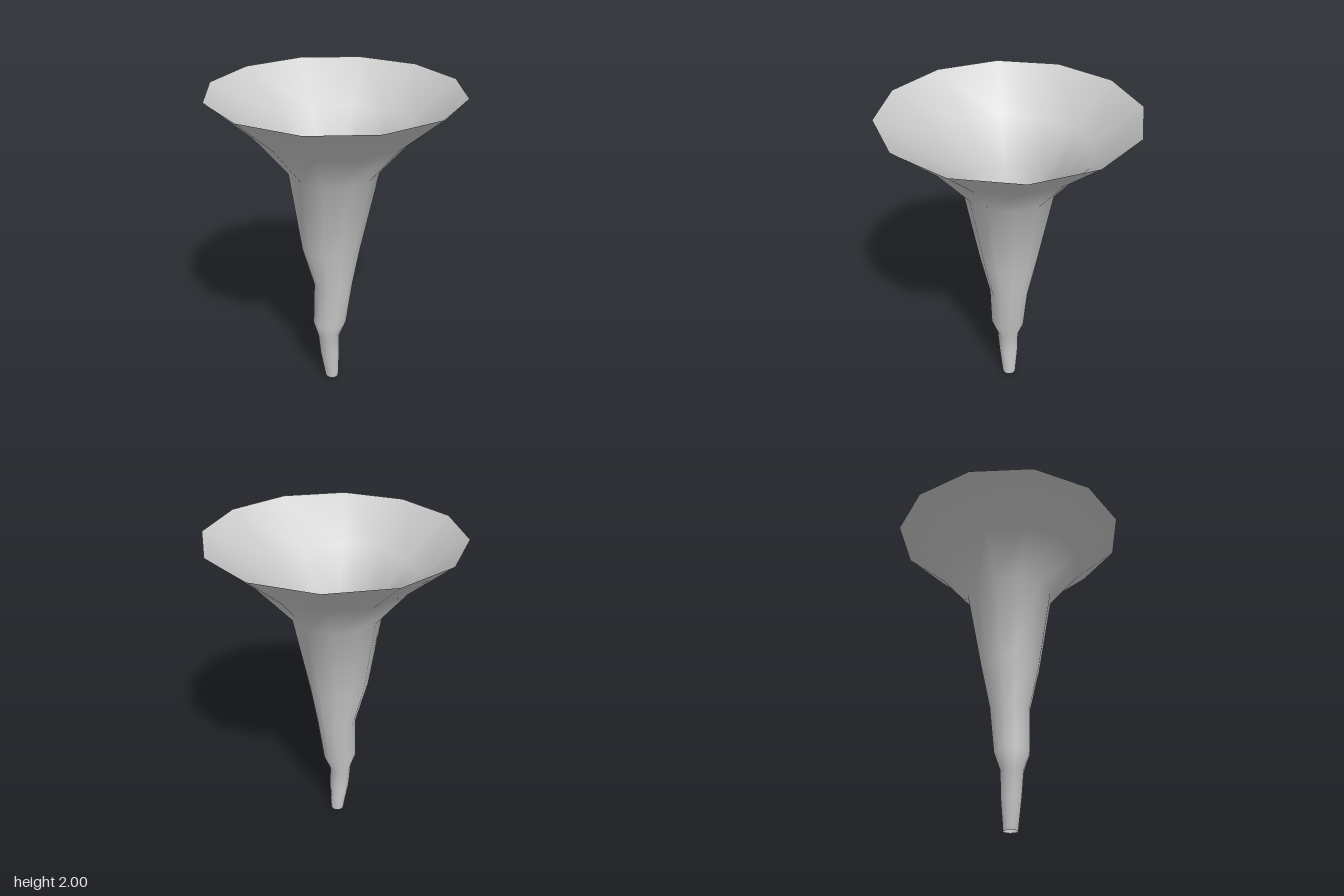
import * as THREE from 'three';
import { mergeVertices } from 'three/addons/utils/BufferGeometryUtils.js';

// Rings from foot to rim: height, min x, max x, min z, max z
const RINGS = [
  [0, -0.07, 0.018, -0.04, 0.05],
  [0.2, -0.105, 0.023, -0.058, 0.07],
  [0.35, -0.12, 0.022, -0.062, 0.081],
  [0.46, -0.152, 0.067, -0.1, 0.12],
  [0.75, -0.141, 0.11, -0.122, 0.13],
  [1.02, -0.215, 0.157, -0.182, 0.19],
  [1.53, -0.288, 0.265, -0.275, 0.28],
  [1.77, -0.485, 0.475, -0.475, 0.48],
  [2, -0.743, 0.743, -0.743, 0.743],
];

// Open twelve-sided tube whose rows are fitted to the rings
function ringTube(rings, sides) {
  const rows = rings.length - 1;
  let geometry = new THREE.CylinderGeometry(1, 1, rows, sides, rows, true);
  const p = geometry.attributes.position;
  for (let i = 0; i < p.count; i++) {
    const [y, x0, x1, z0, z1] = rings[Math.round(p.getY(i) + rows / 2)];
    p.setXYZ(
      i,
      (x0 + x1) / 2 + (p.getX(i) * (x1 - x0)) / 2,
      y,
      (z0 + z1) / 2 + (p.getZ(i) * (z1 - z0)) / 2,
    );
  }
  // Weld the seam so the shading is smooth all round
  geometry.deleteAttribute('uv');
  geometry.deleteAttribute('normal');
  geometry = mergeVertices(geometry, 1e-5);
  geometry.computeVertexNormals();
  return geometry;
}

export function createModel() {
  const group = new THREE.Group();
  group.name = 'flaredHorn';
  const material = new THREE.MeshStandardMaterial({ color: 0xcccccc, side: THREE.DoubleSide });

  // Thin-walled horn, open at both ends
  const horn = new THREE.Mesh(ringTube(RINGS, 12), material);
  horn.name = 'hornWall';
  group.add(horn);
  return group;
}
